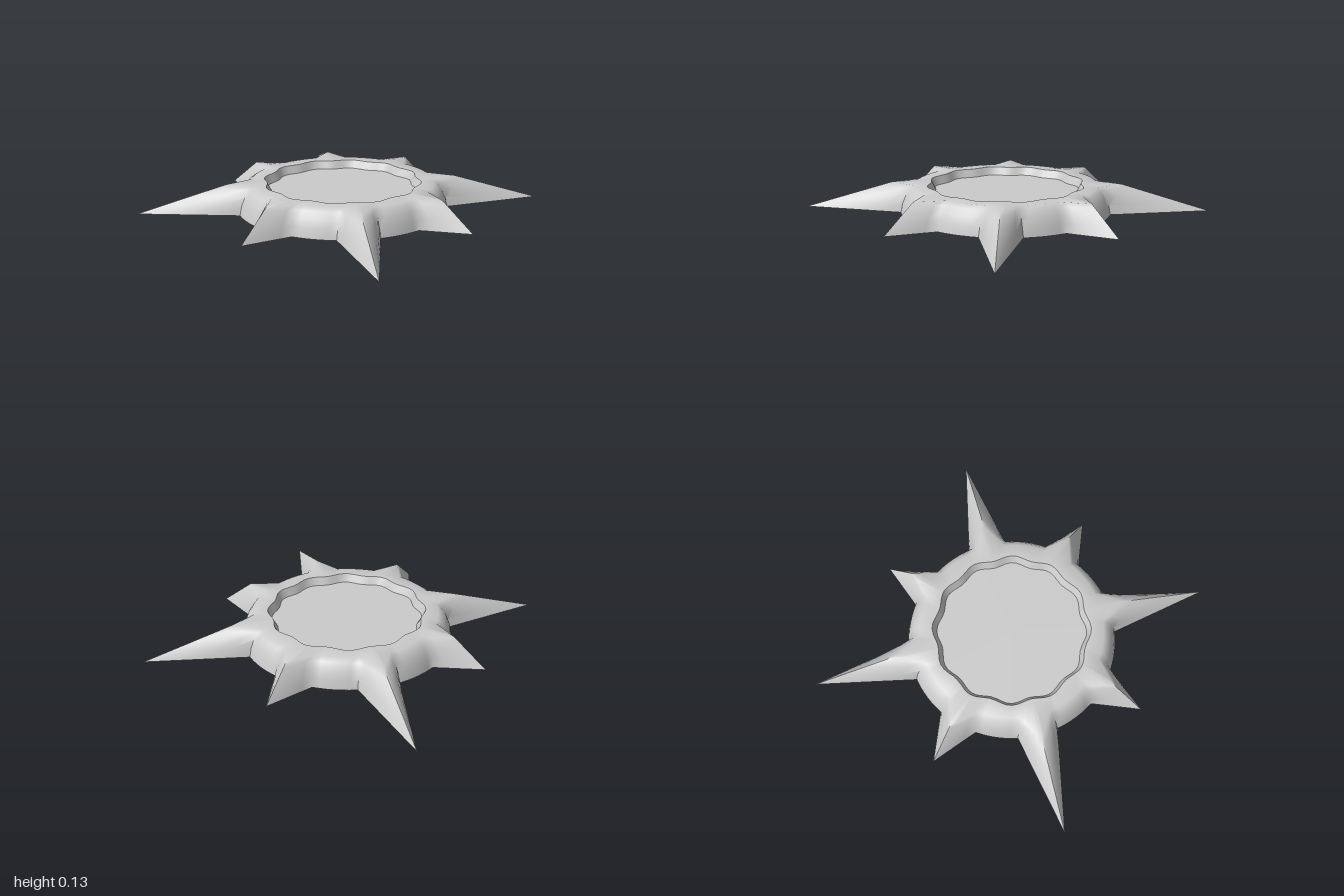
import * as THREE from 'three';
import { toCreasedNormals } from 'three/addons/utils/BufferGeometryUtils.js';

const polar = (r, a) => new THREE.Vector2(r * Math.sin(a), r * Math.cos(a)); // (x, z)
const EIGHTH = Math.PI / 4;

// Closed outline with four long and four short spikes around a circle
function starRing(y, bodyR, longR, shortR, halfAngle) {
  const points = [];
  for (let k = 0; k < 8; k++) {
    const a = k * EIGHTH, b = a + EIGHTH;
    const tipA = polar(k % 2 ? shortR : longR, a);
    const tipB = polar(k % 2 ? longR : shortR, b);
    const cornerA = polar(bodyR, a + halfAngle), cornerB = polar(bodyR, b - halfAngle);
    for (let i = 0; i < 4; i++) points.push(tipA.clone().lerp(cornerA, i / 4));
    for (let i = 0; i < 6; i++) points.push(polar(bodyR, a + halfAngle + (EIGHTH - 2 * halfAngle) * i / 6));
    for (let i = 0; i < 4; i++) points.push(cornerB.clone().lerp(tipB, i / 4));
  }
  return points.map(p => new THREE.Vector3(p.x, y, p.y));
}

// Uneven round outline of the basin, following the angles of another ring
function basinRing(ring, y, inset) {
  return ring.map(p => {
    const a = Math.atan2(p.x, p.z);
    const q = polar(0.38 - 0.01 * Math.cos(12 * a) - inset, a);
    return new THREE.Vector3(q.x, y, q.y);
  });
}

// Skin a stack of closed rings
function skin(rings, crease) {
  const n = rings[0].length, index = [];
  for (let j = 0; j < rings.length - 1; j++) {
    for (let i = 0; i < n; i++) {
      const a = j * n + i, b = j * n + (i + 1) % n;
      index.push(a, b, b + n, a, b + n, a + n);
    }
  }
  const geometry = new THREE.BufferGeometry().setFromPoints(rings.flat());
  geometry.setIndex(index);
  return toCreasedNormals(geometry, crease);
}

export function createModel() {
  const group = new THREE.Group();
  const material = new THREE.MeshStandardMaterial({ color: 0xcccccc, side: THREE.DoubleSide });
  const add = (name, geometry) => {
    const mesh = new THREE.Mesh(geometry, material);
    mesh.name = name;
    group.add(mesh);
    return mesh;
  };

  // Spiked wall: bulging between the spikes, ridges sloping straight to the tips
  const H = 0.13;
  const wall = [[0, 0.52], [0.045, 0.51], [0.085, 0.493], [0.115, 0.473], [H, 0.45]].map(([y, r]) => {
    const t = y / H;
    return starRing(y, r, 1 - 0.43 * t, 0.735 - 0.165 * t, 0.193 - 0.02 * t);
  });
  const top = wall[wall.length - 1];

  // Flat rim continuing into the shallow basin wall
  const floorY = 0.09;
  const rim = basinRing(top, H, 0);
  const floorEdge = basinRing(top, floorY, 0.02);
  add('spikedBody', skin([...wall, rim, floorEdge], 1.0));

  // Basin floor
  const centre = floorEdge.map(() => new THREE.Vector3(0, floorY, 0));
  add('basinFloor', skin([floorEdge, centre], 0.5));

  // Round underside; the spikes are open from below
  add('underside', new THREE.CircleGeometry(0.52, 64).rotateX(Math.PI / 2));

  return group;
}
